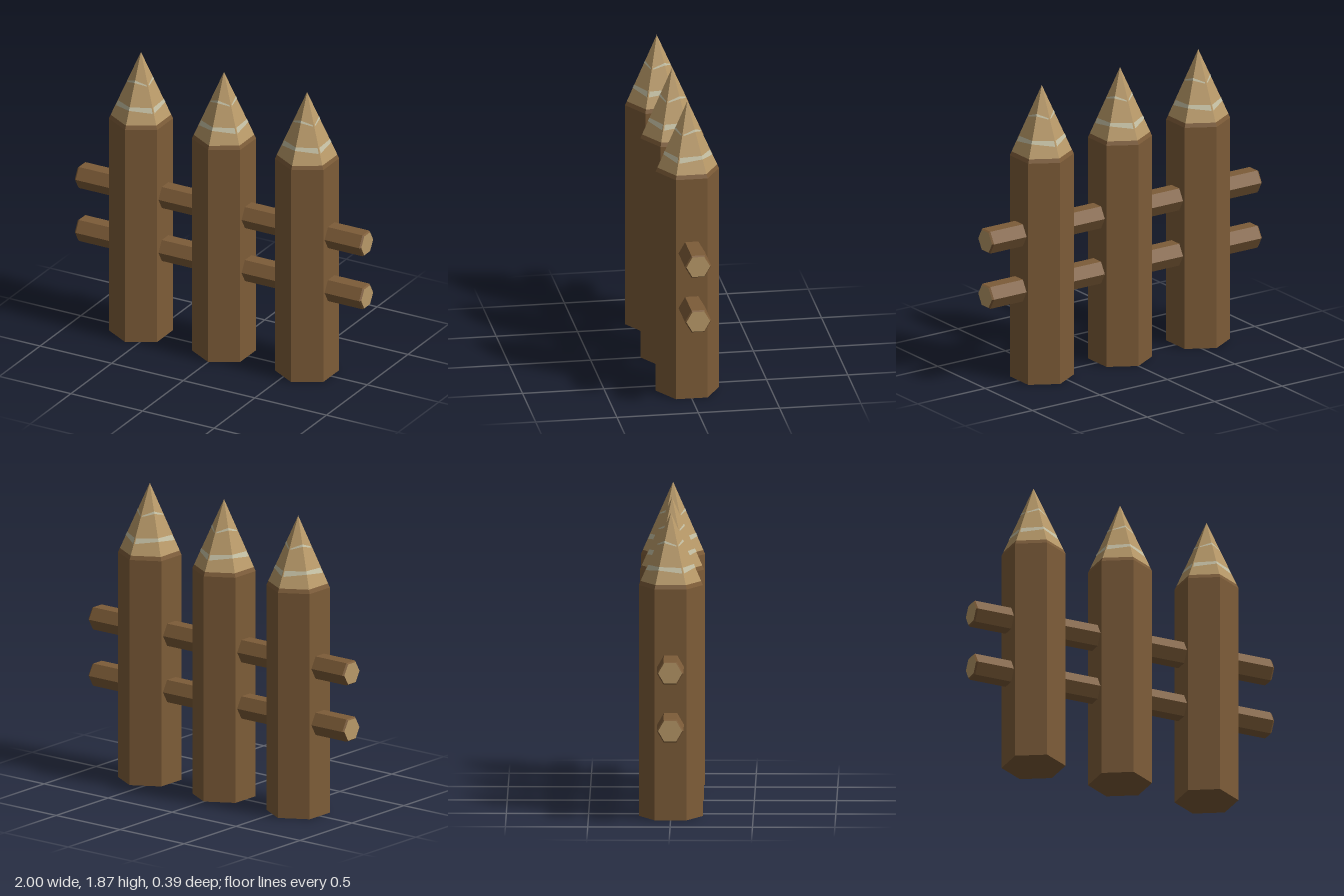
import * as THREE from 'three';

const mat = (color) => new THREE.MeshStandardMaterial({ color, flatShading: true });
const bark = mat(0x7d5c38), wood = mat(0xb89968), pale = mat(0xc4bfa3);
pale.side = THREE.DoubleSide;

const R = 0.195, SHOULDER = 1.42, LIP = 1.445, TIP = 1.865;
const coneRadius = (y) => R * (TIP - y) / (TIP - SHOULDER);

function mesh(name, geometry, material) {
  const m = new THREE.Mesh(geometry, material);
  m.name = name;
  return m;
}

// Six-sided solid of revolution from [radius, height] pairs, lowest first
const hexLathe = (pairs) =>
  new THREE.LatheGeometry(pairs.map(([r, y]) => new THREE.Vector2(r, y)), 6);

// Thin pale wood-grain streaks lying on the faces of the point
function grainGeometry() {
  // each streak: [start u, low y, high y, end u, low y, high y] along a face
  const streaks = [
    [0, 1.53, 1.55, 0.95, 1.512, 1.545],
    [0, 1.688, 1.702, 0.9, 1.668, 1.676],
  ];
  const positions = [];
  const onFace = (k, u, y) => {
    const r = coneRadius(y) + 0.0015;
    const a = k * Math.PI / 3, b = a + Math.PI / 3;
    return [
      r * THREE.MathUtils.lerp(Math.sin(a), Math.sin(b), u), y,
      r * THREE.MathUtils.lerp(Math.cos(a), Math.cos(b), u),
    ];
  };
  for (let k = 0; k < 6; k++) {
    for (const [u0, l0, h0, u1, l1, h1] of streaks) {
      // alternate faces are mirrored
      const flip = k % 2 === 1;
      const A = flip ? [1 - u1, l1, h1] : [u0, l0, h0];
      const B = flip ? [1 - u0, l0, h0] : [u1, l1, h1];
      const p = onFace(k, A[0], A[1]), q = onFace(k, B[0], B[1]);
      const s = onFace(k, B[0], B[2]), t = onFace(k, A[0], A[2]);
      positions.push(...p, ...q, ...s, ...p, ...s, ...t);
    }
  }
  const g = new THREE.BufferGeometry();
  g.setAttribute('position', new THREE.Float32BufferAttribute(positions, 3));
  g.computeVertexNormals();
  return g;
}

function createPost() {
  const post = new THREE.Group();
  post.name = 'post';
  // trunk with a narrow bark lip where the point begins
  post.add(mesh('trunk', hexLathe([[0, 0], [R, 0], [R, SHOULDER], [coneRadius(LIP), LIP]]), bark));
  post.add(mesh('sharpenedPoint', hexLathe([[coneRadius(LIP), LIP], [0, TIP]]), wood));
  post.add(mesh('grainStreaks', grainGeometry(), pale));
  return post;
}

function createRail() {
  const rail = new THREE.Group();
  rail.name = 'rail';
  const r = 0.081, rEnd = 0.073, bevel = 0.01;
  rail.add(mesh('railBark',
    hexLathe([[rEnd, -1], [r, -1 + bevel], [r, 1 - bevel], [rEnd, 1]]), bark));
  // cut ends
  rail.add(mesh('cutEnd', hexLathe([[rEnd, 1], [0, 1]]), wood));
  rail.add(mesh('cutEnd', hexLathe([[0, -1], [rEnd, -1]]), wood));
  rail.rotation.z = -Math.PI / 2;
  return rail;
}

export function createModel() {
  const fence = new THREE.Group();
  fence.name = 'fence';
  for (const x of [-0.58, 0, 0.58]) {
    const post = createPost();
    post.position.x = x;
    fence.add(post);
  }
  for (const y of [0.59, 0.945]) {
    const rail = createRail();
    rail.position.y = y;
    fence.add(rail);
  }
  return fence;
}
